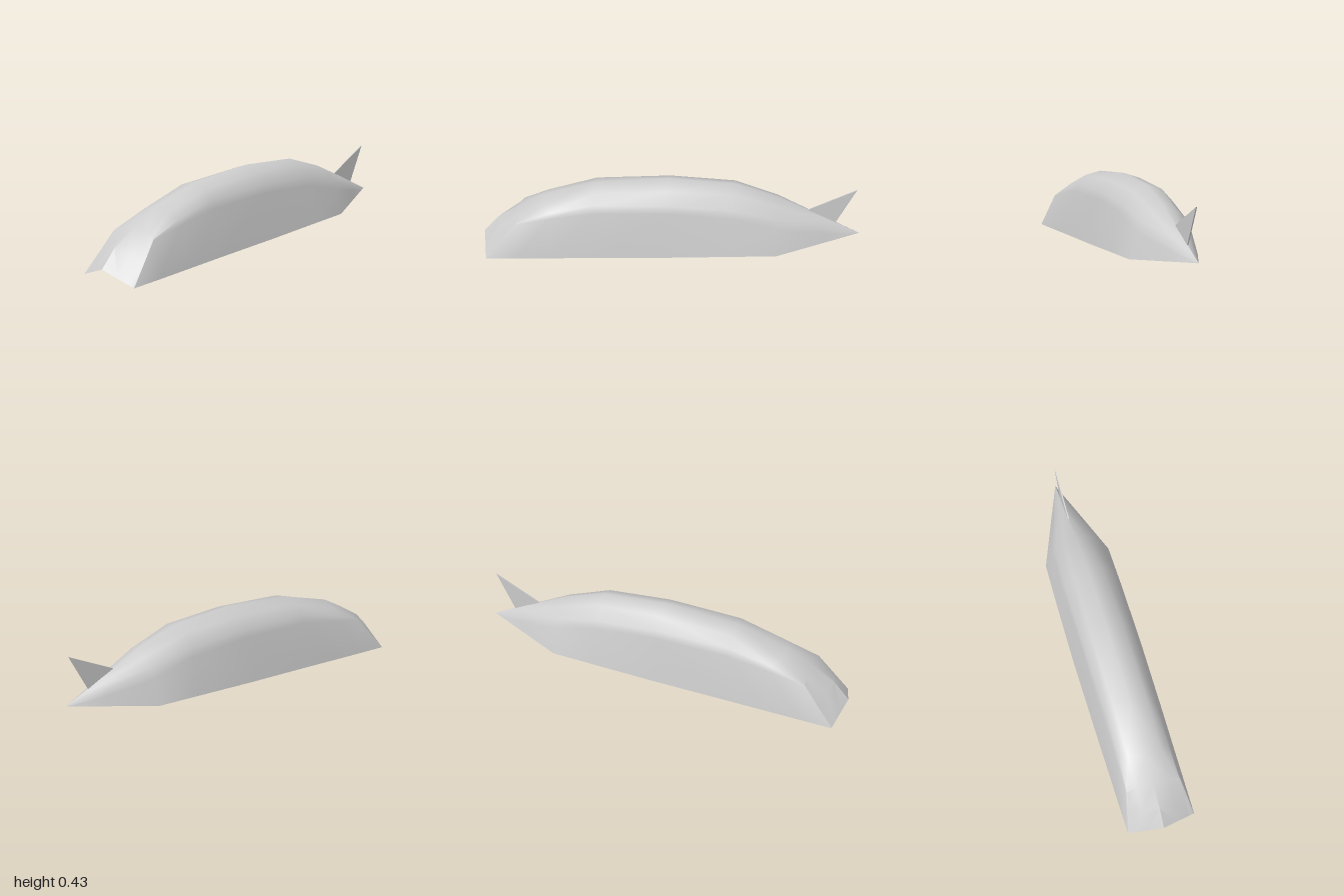
import * as THREE from 'three';
import { toCreasedNormals } from 'three/addons/utils/BufferGeometryUtils.js';

// Half cross-sections from nose to tail: ridge, upper, shoulder, side, hem as [x, y, z]
const SECTIONS = [
  [[0, .065, 1], [.087, .033, .98], [.143, .013, .968], [.165, .005, .963], [.18, 0, .96]],
  [[0, .155, .92], [.087, .135, .9], [.145, .115, .87], [.161, .1, .878], [.18, 0, .96]],
  [[0, .237, .79], [.087, .22, .79], [.138, .2, .798], [.143, .195, .8], [.182, .01, .8]],
  [[0, .305, .67], [.087, .287, .65], [.13, .262, .62], [.143, .235, .62], [.184, .022, .62]],
  [[0, .39, .39], [.087, .37, .39], [.13, .32, .39], [.145, .28, .39], [.187, .038, .39]],
  [[0, .43, 0], [.087, .4, 0], [.135, .34, 0], [.145, .3, 0], [.19, .062, 0]],
  [[0, .415, -.34], [.08, .39, -.34], [.135, .328, -.34], [.147, .285, -.34], [.186, .083, -.34]],
  [[0, .345, -.57], [.065, .322, -.57], [.118, .275, -.57], [.14, .23, -.57], [.18, .095, -.57]],
  [[0, .24, -.81], [.03, .225, -.81], [.055, .198, -.81], [.064, .175, -.81], [.08, .126, -.81]],
  [[0, .15, -1], [0, .15, -1], [0, .15, -1], [0, .15, -1], [0, .15, -1]],
];

const material = new THREE.MeshStandardMaterial({ color: 0xcccccc, side: THREE.DoubleSide });

function addMesh(group, name, geometry) {
  const mesh = new THREE.Mesh(geometry, material);
  mesh.name = name;
  group.add(mesh);
  return mesh;
}

// Mirror each half section into a full arch, then skin neighbouring arches
function shellGeometry() {
  const rows = SECTIONS.map((half) => [
    ...half.slice(1).reverse().map(([x, y, z]) => [-x, y, z]),
    ...half,
  ]);
  const n = rows[0].length;
  const mid = (n - 1) / 2;
  const index = [];
  for (let i = 0; i < rows.length - 1; i++) {
    for (let j = 0; j < n - 1; j++) {
      const a = i * n + j, b = a + 1, c = a + n, d = c + 1;
      const tail = i === rows.length - 2;
      if (tail) index.push(a, b, c);
      else if (j < mid) index.push(a, b, d, a, d, c);
      else index.push(a, b, c, b, d, c);
    }
  }
  const g = new THREE.BufferGeometry();
  g.setAttribute('position', new THREE.Float32BufferAttribute(rows.flat(2), 3));
  g.setIndex(index);
  return toCreasedNormals(g, 0.7);
}

// Thin swept triangular fin in the centre plane
function finGeometry() {
  const shape = new THREE.Shape();
  shape.moveTo(.71, .27);
  shape.lineTo(.87, .205);
  shape.lineTo(.97, .405);
  shape.closePath();
  const thickness = .006;
  const g = new THREE.ExtrudeGeometry(shape, { depth: thickness, bevelEnabled: false });
  return g.translate(0, 0, -thickness / 2).rotateY(Math.PI / 2);
}

export function createModel() {
  const group = new THREE.Group();
  group.name = 'openShell';
  addMesh(group, 'shell', shellGeometry());
  addMesh(group, 'tailFin', finGeometry());
  return group;
}
